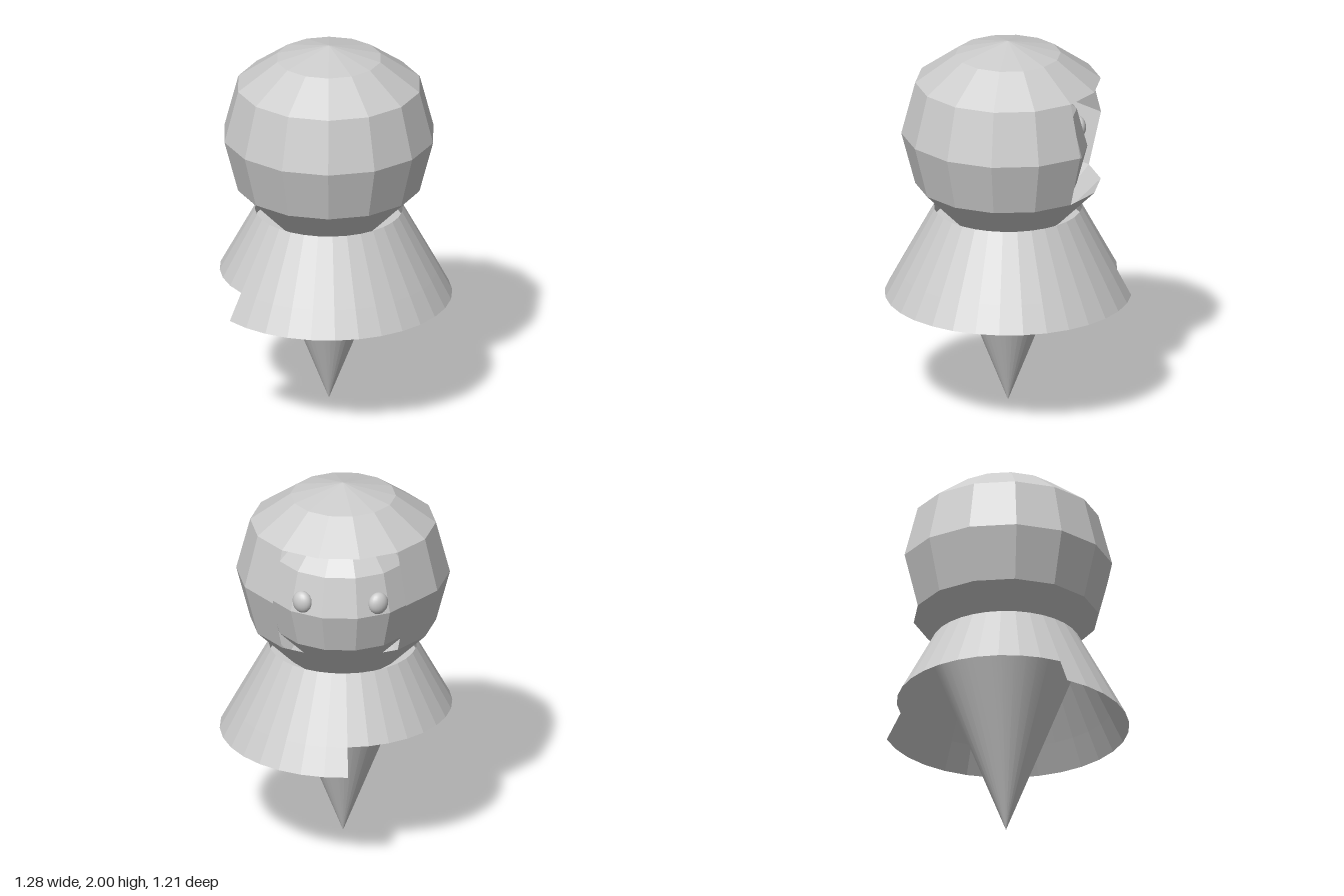
import * as THREE from 'three';

const TAU = Math.PI * 2;
const STEP = TAU / 14; // one facet of the hood
const FACING = 5.5 * STEP; // direction the face looks

const flat = new THREE.MeshStandardMaterial({ color: 0xcccccc, flatShading: true, side: THREE.DoubleSide });
const smooth = new THREE.MeshStandardMaterial({ color: 0xcccccc });

// Faceted surface of revolution over part of a turn; angles run from +z towards +x
function lathe(profile, segments, start = 0, length = TAU) {
  const points = profile.map(([r, y]) => new THREE.Vector2(r, y));
  return new THREE.Mesh(new THREE.LatheGeometry(points, segments, start, length), flat);
}

function group(name, ...parts) {
  const g = new THREE.Group();
  g.name = name;
  g.add(...parts);
  return g;
}

export function createModel() {
  const model = new THREE.Group();

  // Pointed body standing on its tip
  const body = new THREE.Mesh(new THREE.ConeGeometry(0.392, 1, 32), smooth);
  body.name = 'body';
  body.rotation.x = Math.PI;
  body.position.y = 0.5;
  model.add(body);

  // Open cape: 20 long panels, and 12 shorter ones around the back
  const panel = TAU / 32;
  model.add(group('cape',
    lathe([[0.644, 0.6], [0.57, 0.74], [0.386, 1.08]], 20, -7 * panel, 20 * panel),
    lathe([[0.57, 0.74], [0.386, 1.08]], 12, 13 * panel, 12 * panel)
  ));

  // Hood shell: closed crown and chin, with three facets left open for the face
  model.add(group('hood',
    lathe([[0, 0.94], [0.28, 1.015], [0.485, 1.22]], 14),
    lathe([[0.485, 1.22], [0.558, 1.5], [0.485, 1.78]], 11, 7 * STEP, 11 * STEP),
    lathe([[0.485, 1.78], [0.276, 1.93], [0, 2]], 14)
  ));

  // Inner head seen through the opening
  const rings = [];
  for (let i = 0; i <= 6; i++) {
    const a = (i / 6) * Math.PI;
    rings.push([0.415 * Math.sin(a), 1.405 - 0.415 * Math.cos(a)]);
  }
  const head = lathe(rings, 14);
  head.name = 'head';
  model.add(head);

  // Eyes, flattened against the face
  for (const side of [-1, 1]) {
    const eye = new THREE.Mesh(new THREE.SphereGeometry(1, 20, 14), smooth);
    const angle = FACING + side * 0.53;
    eye.name = side > 0 ? 'rightEye' : 'leftEye';
    eye.scale.set(0.055, 0.06, 0.04);
    eye.rotation.y = angle;
    eye.position.set(0.392 * Math.sin(angle), 1.467, 0.392 * Math.cos(angle));
    model.add(eye);
  }

  // Centre the overall bounds, which the cape notch makes uneven
  model.children.forEach((part) => {
    part.position.x -= 0.007;
    part.position.z -= 0.041;
  });
  return model;
}
